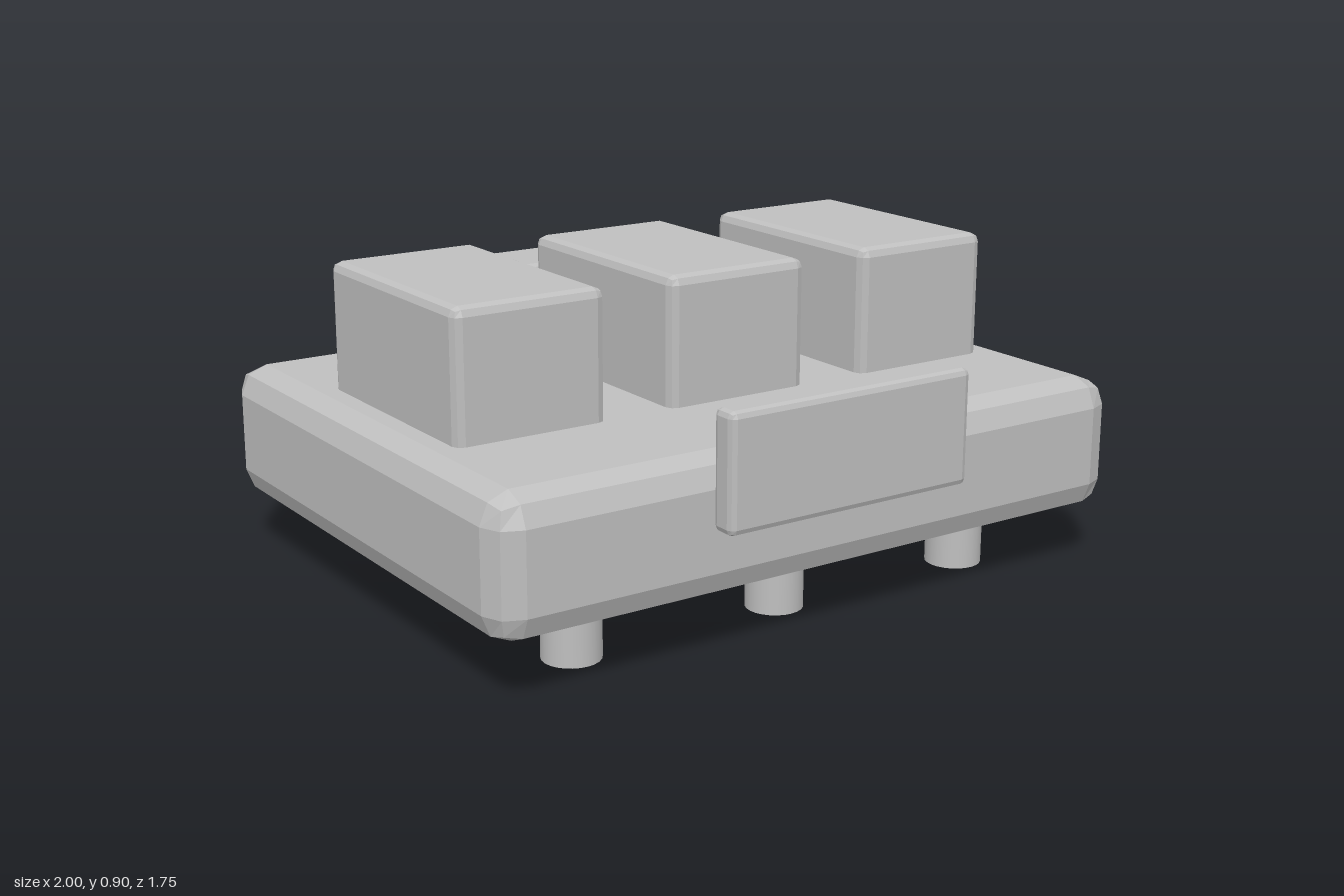
import * as THREE from 'three';
import { RoundedBoxGeometry } from 'three/addons/geometries/RoundedBoxGeometry.js';

export function createModel() {
  const model = new THREE.Group();
  model.name = 'model';
  const grey = new THREE.MeshStandardMaterial({ color: 0xbfbfbf });
  grey.name = 'grey';

  function add(name, geometry, x, y, z) {
    const mesh = new THREE.Mesh(geometry, grey);
    mesh.name = name;
    mesh.position.set(x, y, z);
    model.add(mesh);
    return mesh;
  }

  // Box with a two-step faceted bevel, given by its extents
  function bevelBox(name, [x0, x1], [y0, y1], [z0, z1], bevel) {
    const geometry = new RoundedBoxGeometry(x1 - x0, y1 - y0, z1 - z0, 1, bevel);
    geometry.computeVertexNormals(); // unindexed, so this gives flat facets
    return add(name, geometry, (x0 + x1) / 2, (y0 + y1) / 2, (z0 + z1) / 2);
  }

  // Main slab
  bevelBox('body', [-1, 1], [0.165, 0.547], [-0.747, 0.8], 0.08);

  // Front plate and rear block
  bevelBox('frontPlate', [-0.385, 0.385], [0.36, 0.68], [0.795, 0.873], 0.018);
  bevelBox('rearBlock', [-0.58, 0.575], [0.425, 0.742], [-0.873, -0.622], 0.026);

  for (const x of [-0.646, -0.001, 0.643]) {
    // Row of blocks on top, sunk slightly into the slab
    bevelBox('topBlock', [x - 0.222, x + 0.222], [0.5, 0.905], [-0.325, 0.375], 0.026);

    // Front and rear legs
    for (const z of [0.546, -0.485]) {
      add('leg', new THREE.CylinderGeometry(0.08, 0.08, 0.2, 24), x, 0.1, z);
    }
  }

  // Thin bars reaching from the rear block between the top blocks
  for (const x of [-0.26, -0.002, 0.256]) {
    add('bar', new THREE.BoxGeometry(0.056, 0.045, 0.53), x, 0.583, -0.37);
  }

  return model;
}
